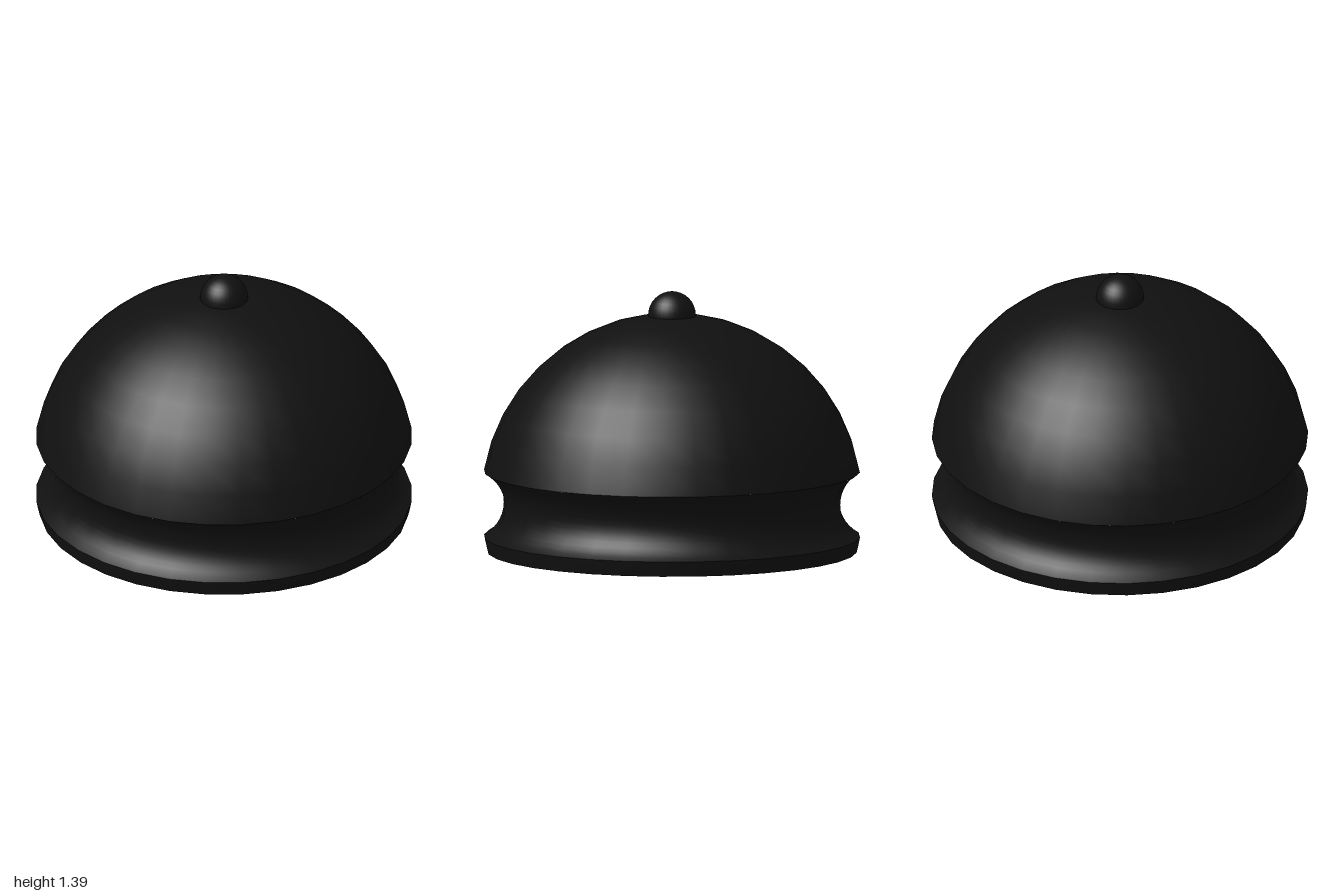
import * as THREE from 'three';

const SIDES = 32;
const MID = 0.255;   // height of the sphere centre and of the groove
const R = 1.015;     // sphere radius
const EDGE = Math.asin(0.174 / R); // elevation of the groove's rims

// Points along a circular arc, angles measured up from the horizontal
function arc(cx, cy, r, from, to, steps) {
  return Array.from({ length: steps + 1 }, (_, i) => {
    const a = from + (to - from) * i / steps;
    return new THREE.Vector2(Math.max(0, cx + r * Math.cos(a)), cy + r * Math.sin(a));
  });
}

const line = (x0, y0, x1, y1) => [new THREE.Vector2(x0, y0), new THREE.Vector2(x1, y1)];

export function createModel() {
  const group = new THREE.Group();
  const black = new THREE.MeshStandardMaterial({ color: 0x101010 });
  black.name = 'black';

  // Each section is turned separately so that the edges between them stay sharp
  const turn = (name, points) => {
    const mesh = new THREE.Mesh(new THREE.LatheGeometry(points, SIDES), black);
    mesh.name = name;
    group.add(mesh);
    return mesh;
  };

  // Dome above the groove
  turn('dome', arc(0, MID, R, EDGE, Math.PI / 2, 9));

  // Concave groove around the waist
  const half = 0.174, depth = 0.105;
  const grooveR = (half * half + depth * depth) / (2 * depth);
  const spread = Math.asin(half / grooveR);
  turn('groove', arc(1 - depth + grooveR, MID, grooveR, Math.PI + spread, Math.PI - spread, 14));

  // Lower rim continues the sphere down to the flat base
  turn('baseRim', arc(0, MID, R, -Math.asin(MID / R), -EDGE, 2));

  // Flat underside with a round blind socket
  const hole = 0.435;
  turn('underside', line(hole, 0, Math.sqrt(R * R - MID * MID), 0));
  turn('socketWall', line(hole, MID, hole, 0));
  turn('socketCeiling', line(0, MID, hole, MID));

  // Small round knob on top
  const knob = new THREE.Mesh(new THREE.SphereGeometry(0.127, SIDES, 16), black);
  knob.name = 'knob';
  knob.position.y = 1.265;
  group.add(knob);

  return group;
}
